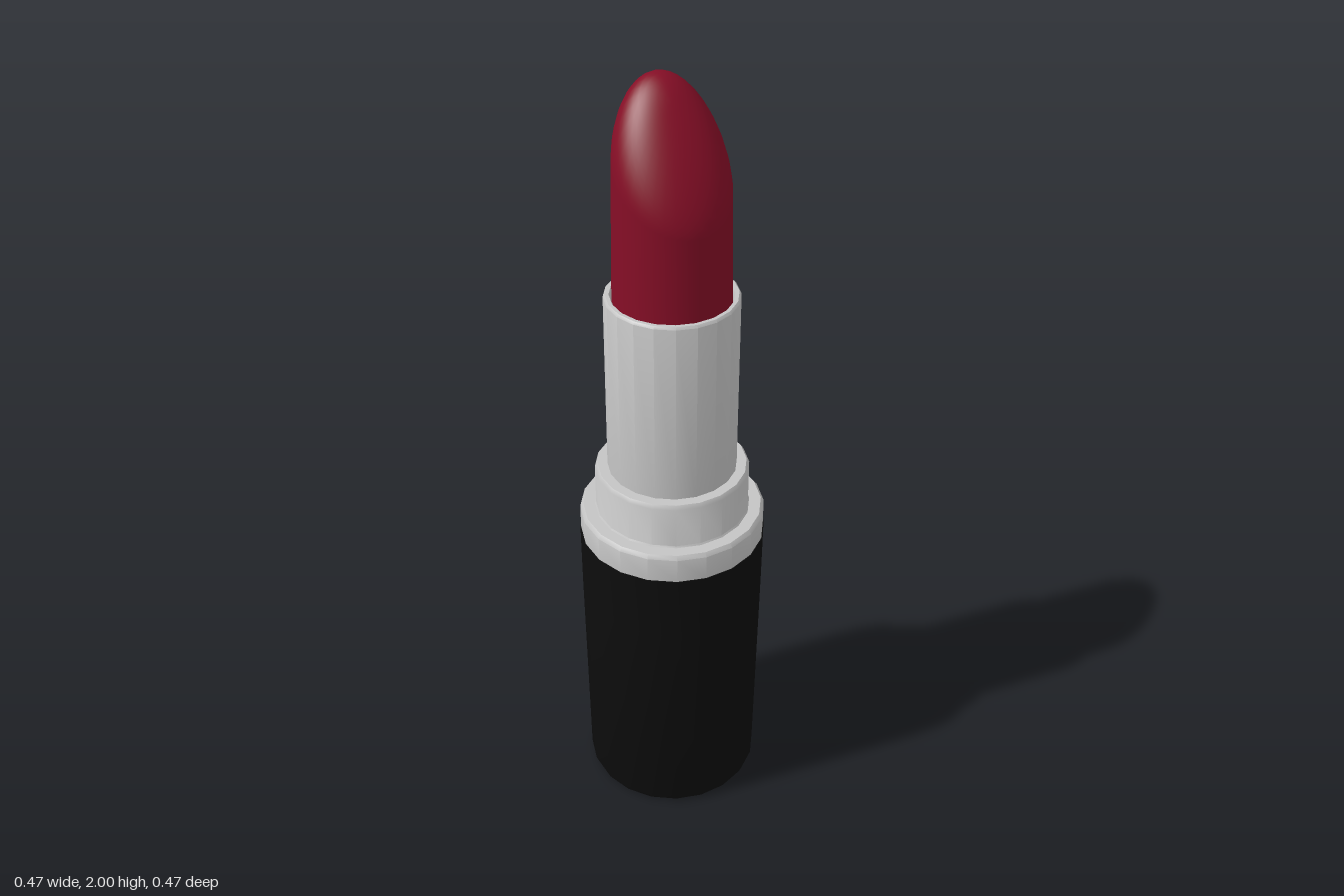
import * as THREE from 'three';
import { mergeVertices, toCreasedNormals } from 'three/addons/utils/BufferGeometryUtils.js';

const SIDES = 20;
const PHASE = THREE.MathUtils.degToRad(13);

// Turned part from [radius, height] pairs, with sharp steps and smooth walls
function turned(name, profile, material) {
  const points = profile.map(([r, y]) => new THREE.Vector2(r, y));
  const geometry = toCreasedNormals(new THREE.LatheGeometry(points, SIDES, PHASE), 0.7);
  const mesh = new THREE.Mesh(geometry, material);
  mesh.name = name;
  return mesh;
}

// Round stick with a slanted, soft-edged tip
function bulletGeometry() {
  const profile = [0, 0.35, 0.7].map(t => new THREE.Vector2(1, t));
  const rings = 14;
  for (let i = 0; i <= rings; i++) {
    profile.push(new THREE.Vector2(Math.cos((i / rings) * Math.PI / 2), 1));
  }
  profile[profile.length - 1].x = 0;
  let geometry = new THREE.LatheGeometry(profile, 32);
  const p = geometry.attributes.position;
  for (let i = 0; i < p.count; i++) {
    const x = p.getX(i), z = p.getZ(i), t = p.getY(i);
    const s = Math.min(1, Math.hypot(x, z));
    const radius = 0.143 - 0.006 * t;
    // The rim is rounded more deeply at the back than at the front
    const depth = 0.18 - 0.07 * (s > 0 ? z / s : 0);
    const top = 1.95 - 1.15 * z * radius - depth * (1 - Math.sqrt(1 - s * s));
    p.setXYZ(i, x * radius, THREE.MathUtils.lerp(1.44, top, t), z * radius);
  }
  geometry.deleteAttribute('normal');
  geometry.deleteAttribute('uv');
  geometry = mergeVertices(geometry, 1e-5);
  geometry.computeVertexNormals();
  return geometry;
}

export function createModel() {
  const black = new THREE.MeshStandardMaterial({ name: 'black case', color: 0x0d0d0d });
  const silver = new THREE.MeshStandardMaterial({ name: 'silver', color: 0xc4c4c4 });
  const red = new THREE.MeshStandardMaterial({ name: 'deep red', color: 0x850e26 });

  const model = new THREE.Group();
  model.name = 'lipstick';

  // Case with a softened bottom edge and a slight flare upward
  model.add(turned('case', [
    [0, 0], [0.212, 0], [0.224, 0.006], [0.23, 0.02],
    [0.237, 0.62], [0.238, 0.8], [0.2, 0.8],
  ], black));

  // Stepped collar
  model.add(turned('collar', [
    [0.2, 0.8], [0.236, 0.8], [0.236, 0.866], [0.228, 0.876], [0.198, 0.876],
    [0.195, 0.88], [0.195, 0.99], [0.188, 1], [0.15, 1],
  ], silver));

  // Inner tube with an open lip
  model.add(turned('tube', [
    [0.163, 0.99], [0.163, 1.476], [0.158, 1.482], [0.149, 1.482],
    [0.146, 1.477], [0.146, 1.445], [0, 1.445],
  ], silver));

  const bullet = new THREE.Mesh(bulletGeometry(), red);
  bullet.name = 'bullet';
  model.add(bullet);
  return model;
}
